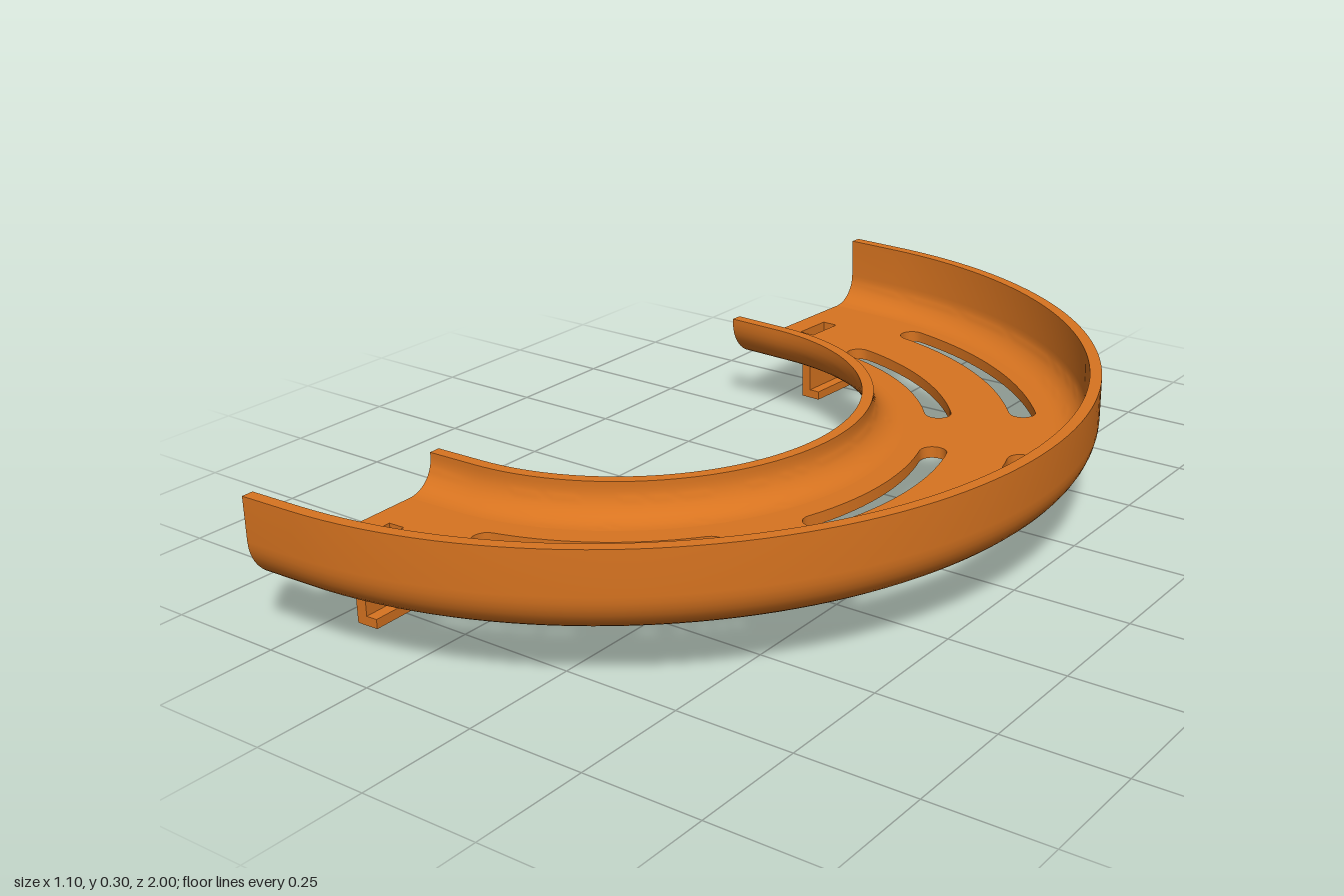
import * as THREE from 'three';
import { toCreasedNormals } from 'three/addons/utils/BufferGeometryUtils.js';

const CX = -0.445;                        // centre of the bend
const R_OUT = 0.995, R_IN = 0.49;         // outer and inner wall radii
const Y0 = 0.12, T = 0.025, FILLET = 0.09;
const rad = THREE.MathUtils.degToRad;

// The two ends: arc limit, straight run beyond it, and tilt of the fittings
const ENDS = [
  { angle: rad(-87.4), run: 0.129, z: -0.736, tilt: -0.045 },
  { angle: rad(88.3), run: 0.118, z: 0.74, tilt: 0.03 },
];

// Stations along the track: an arc with a short straight at each end
function makeStations(n = 80) {
  const [a, b] = ENDS;
  const list = [{ angle: a.angle, shift: -a.run }];
  for (let i = 0; i <= n; i++) list.push({ angle: a.angle + (b.angle - a.angle) * i / n, shift: 0 });
  list.push({ angle: b.angle, shift: b.run });
  return list;
}

// Plan position (x, z) at radius r of a station
function plan({ angle, shift }, r) {
  const c = Math.cos(angle), s = Math.sin(angle);
  return new THREE.Vector2(CX + r * c - shift * s, r * s + shift * c);
}

// Sweep a counter-clockwise (radius, height) profile along the stations
function sweep(profile, stations) {
  const pos = [], index = [], n = profile.length;
  for (const st of stations) {
    for (const p of profile) {
      const q = plan(st, p.x);
      pos.push(q.x, p.y, q.y);
    }
  }
  for (let s = 0; s < stations.length - 1; s++) {
    for (let i = 0; i < n; i++) {
      const j = (i + 1) % n;
      const a = s * n + i, b = s * n + j, c = b + n, d = a + n;
      index.push(a, b, c, a, c, d);
    }
  }
  const last = (stations.length - 1) * n;
  for (const [a, b, c] of THREE.ShapeUtils.triangulateShape(profile, [])) {
    index.push(a, c, b, last + a, last + b, last + c);
  }
  const g = new THREE.BufferGeometry();
  g.setAttribute('position', new THREE.Float32BufferAttribute(pos, 3));
  g.setIndex(index);
  return toCreasedNormals(g, 0.5);
}

// Side wall profile: quarter-round foot rising to a vertical wall
function wallProfile(radius, side, top) {
  const pts = [], n = 10;
  const arc = (rr, i) => {
    const t = (i / n) * Math.PI / 2;
    pts.push(new THREE.Vector2(radius - side * (FILLET - rr * Math.sin(t)), Y0 + FILLET - rr * Math.cos(t)));
  };
  for (let i = 0; i <= n; i++) arc(FILLET, i);
  pts.push(new THREE.Vector2(radius, top), new THREE.Vector2(radius - side * T, top));
  for (let i = n; i >= 0; i--) arc(FILLET - T, i);
  return side > 0 ? pts : pts.reverse();
}

// Curved slot with rounded ends, concentric with the bend
function slotHole(r, mid) {
  const w = 0.029, half = rad(21.4) - w / r, pts = [];
  const polar = (rr, a) => new THREE.Vector2(CX + rr * Math.cos(a), rr * Math.sin(a));
  const cap = (a, dir) => {
    const c = polar(r, a);
    for (let i = 1; i < 10; i++) {
      const t = a + (dir > 0 ? 0 : Math.PI) + i * Math.PI / 10;
      pts.push(new THREE.Vector2(c.x + w * Math.cos(t), c.y + w * Math.sin(t)));
    }
  };
  for (let i = 0; i <= 20; i++) pts.push(polar(r + w, mid - half + 2 * half * i / 20));
  cap(mid + half, 1);
  for (let i = 20; i >= 0; i--) pts.push(polar(r - w, mid - half + 2 * half * i / 20));
  cap(mid - half, -1);
  return new THREE.Path(pts);
}

// Small rectangular hole near an end
function rectHole(x, z, tilt) {
  const c = Math.cos(tilt), s = Math.sin(tilt);
  return new THREE.Path([[-1, -1], [1, -1], [1, 1], [-1, 1]].map(([u, v]) => {
    const dx = u * 0.019, dz = v * 0.047;
    return new THREE.Vector2(x + dx * c + dz * s, z - dx * s + dz * c);
  }));
}

export function createModel() {
  const group = new THREE.Group();
  const orange = new THREE.MeshStandardMaterial({ color: 0xd87420 });
  orange.name = 'orange';
  const add = (name, geometry, parent = group) => {
    const mesh = new THREE.Mesh(geometry, orange);
    mesh.name = name;
    parent.add(mesh);
    return mesh;
  };
  const stations = makeStations();

  // Flat floor with slots and end holes
  const floor = new THREE.Shape([
    ...stations.map((s) => plan(s, R_OUT - FILLET)),
    ...stations.map((s) => plan(s, R_IN + FILLET)).reverse(),
  ]);
  for (const mid of [-57.4, 0, 57.4]) {
    for (const r of [0.66, 0.845]) floor.holes.push(slotHole(r, rad(mid)));
  }
  for (const e of ENDS) floor.holes.push(rectHole(-0.47, e.z, e.tilt));
  const floorGeo = new THREE.ExtrudeGeometry(floor, { depth: T, bevelEnabled: false });
  floorGeo.rotateX(Math.PI / 2).translate(0, Y0 + T, 0);
  add('floor', toCreasedNormals(floorGeo, 0.5));

  // Tall outer wall and low inner wall
  add('outerWall', sweep(wallProfile(R_OUT, 1, 0.3), stations));
  add('innerWall', sweep(wallProfile(R_IN, -1, 0.22), stations));

  // Hooked clips under both ends
  ENDS.forEach((e, i) => {
    const clip = new THREE.Group();
    clip.name = i ? 'frontClip' : 'backClip';
    clip.position.set(-0.44, 0, e.z);
    clip.rotation.y = e.tilt;
    add('clipPlate', new THREE.BoxGeometry(0.024, Y0 + 0.005, 0.18), clip).position.y = (Y0 + 0.005) / 2;
    add('clipFoot', new THREE.BoxGeometry(0.025, 0.02, 0.18), clip).position.set(0.0245, 0.01, 0);
    group.add(clip);
  });
  return group;
}
